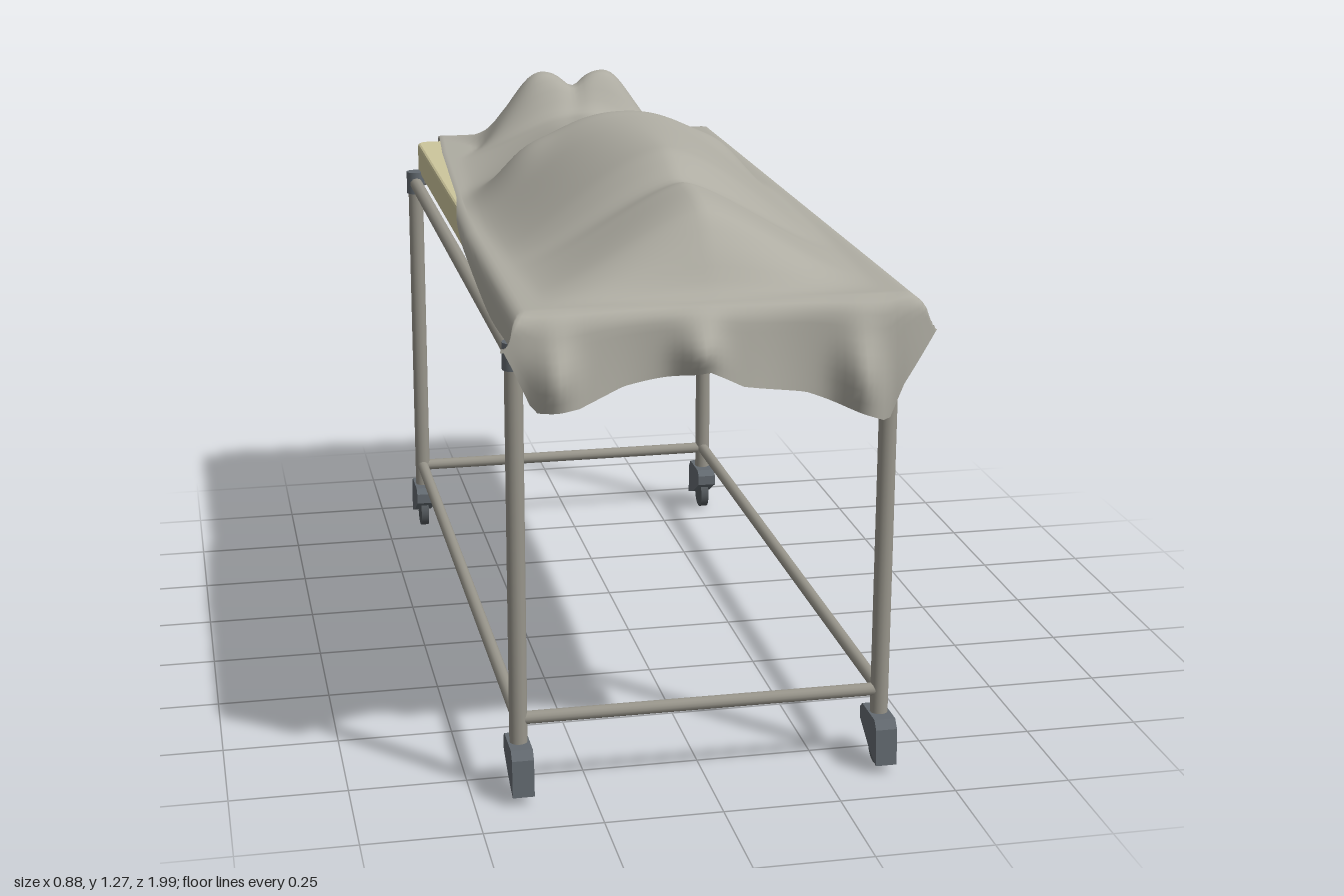
import * as THREE from 'three';

const mat = (name, color, side = THREE.FrontSide) => {
  const m = new THREE.MeshStandardMaterial({ color, side });
  m.name = name;
  return m;
};

// Interpolate sorted [key, value] pairs, straight or as a smooth Hermite curve
function interp(pairs, k, smooth = true) {
  const n = pairs.length - 1;
  if (k <= pairs[0][0]) return pairs[0][1];
  if (k >= pairs[n][0]) return pairs[n][1];
  const i = pairs.findIndex(p => p[0] > k);
  const [k0, v0] = pairs[i - 1], [k1, v1] = pairs[i];
  const h = k1 - k0, t = (k - k0) / h;
  if (!smooth) return v0 + (v1 - v0) * t;
  const slope = j => (j === 0 || j === n) ? 0 : (pairs[j + 1][1] - pairs[j - 1][1]) / (pairs[j + 1][0] - pairs[j - 1][0]);
  const s = t * t * (3 - 2 * t);
  return v0 + (v1 - v0) * s + h * t * (1 - t) * ((1 - t) * slope(i - 1) - t * slope(i));
}
const bump = (x, z, cx, cz, sx, sz) => Math.exp(-(((x - cx) / sx) ** 2) - ((z - cz) / sz) ** 2);

// Covered figure along z: ridge height, half width and roundness (feet at the back)
const RIDGE = [[-0.93, 1.062], [-0.877, 1.085], [-0.82, 1.17], [-0.775, 1.235], [-0.72, 1.235], [-0.67, 1.18],
  [-0.63, 1.165], [-0.5, 1.175], [-0.235, 1.207], [-0.15, 1.24], [-0.075, 1.268], [0.0, 1.27], [0.38, 1.27],
  [0.46, 1.25], [0.52, 1.225], [0.6, 1.237], [0.75, 1.215], [0.82, 1.145], [0.87, 1.075], [0.91, 1.062]];
const WIDTH = [[-0.92, 0.34], [-0.76, 0.25], [-0.6, 0.31], [-0.3, 0.34], [-0.1, 0.37], [0.2, 0.37],
  [0.5, 0.36], [0.75, 0.35], [0.9, 0.35]];
const ROUND = [[-0.85, 2], [-0.76, 2.8], [-0.64, 1.5], [-0.3, 1.5], [-0.1, 2.2], [0.1, 2], [0.35, 1.7],
  [0.55, 1.4], [0.9, 1.4]];
const TOP = 1.062;

function bodyHeight(x, z) {
  const t = Math.min(1, Math.abs(x) / interp(WIDTH, z));
  let y = TOP + (interp(RIDGE, z) - TOP) * (1 - t ** interp(ROUND, z)) ** 1.5;
  for (const s of [-1, 1]) {
    y += 0.02 * bump(x, z, s * 0.24, -0.08, 0.06, 0.1);     // hands
    y += 0.025 * bump(x, z, s * 0.1, -0.75, 0.05, 0.05);    // feet
  }
  y -= 0.03 * bump(x, z, 0, -0.77, 0.03, 0.09);             // gap between feet
  y -= 0.012 * bump(x, z, -0.02, -0.45, 0.04, 0.2);         // hollow between legs
  return y;
}

// Hem outlines: bottom height by x, sheet edge and overhang along the sides by z
const FRONT_HEM = [[-0.44, 1.0], [-0.42, 0.96], [-0.38, 0.87], [-0.29, 0.875], [-0.2, 0.91], [-0.03, 0.936],
  [0.04, 0.9], [0.175, 0.875], [0.34, 0.81], [0.37, 0.885], [0.44, 0.995]];
const BACK_HEM = [[-0.33, 0.98], [-0.25, 0.885], [-0.18, 0.757], [0, 0.885], [0.31, 0.72], [0.36, 0.81], [0.44, 0.98]];
const RIGHT_EDGE = [[-0.92, -0.315], [-0.7, -0.335], [-0.1, -0.372], [0.2, -0.384], [0.9, -0.387]];
const RIGHT_HANG = [[-0.2, 0.012], [0.1, 0.045], [0.6, 0.1], [0.92, 0.09]];
const LEFT_HANG = [[-0.92, 0.085], [-0.6, 0.108], [0, 0.116], [0.6, 0.108], [0.9, 0.085]];

// Cloth of length d running over an edge of radius 0.03, then straight down
function fold(d) {
  const r = 0.03, a = Math.min(d / r, Math.PI / 2);
  return { out: r * Math.sin(a), down: r * (1 - Math.cos(a)) + Math.max(0, d - r * Math.PI / 2) };
}

function makeSheet() {
  const K = 10, NX = 56, NZ = 110;                // hanging steps, top columns, top rows
  const cols = NX + 2 * K, rows = NZ + 2 * K;
  const pos = [], idx = [];
  for (let j = 0; j <= rows; j++) {
    const back = Math.max(0, (K - j) / K), front = Math.max(0, (j - NZ - K) / K);
    const b = Math.max(back, front);
    const zt = -0.915 + 1.82 * Math.min(1, Math.max(0, (j - K) / NZ));
    const xr = interp(RIGHT_EDGE, zt, false);
    for (let i = 0; i <= cols; i++) {
      const right = Math.max(0, (K - i) / K), left = Math.max(0, (i - NX - K) / K);
      const u = Math.min(1, Math.max(0, (i - K) / NX));
      const side = fold(left * interp(LEFT_HANG, zt) + right * interp(RIGHT_HANG, zt));
      const flare = 0.025 * b * (left + right * front);
      const x = xr + (0.385 - xr) * u + (left ? 1 : -1) * (side.out + flare);
      let z = zt, drop = side.down;
      if (b > 0) {
        const end = fold(b * (TOP + 0.017 - interp(front ? FRONT_HEM : BACK_HEM, x, false)));
        // Loose folds stand out from the hanging ends
        let out = end.out + 0.012 * b * (1 + Math.sin(x * 19 + 1));
        if (front) for (const cx of [-0.34, -0.05, 0.28]) out += 0.045 * bump(x, b, cx, 0.7, 0.04, 0.35);
        else out += 0.04 * bump(x, b, -0.02, 0.6, 0.035, 0.35);
        z += front ? out : -out;
        drop = Math.max(drop, end.down);
      }
      pos.push(x, bodyHeight(x, zt) - drop, z);
    }
  }
  const w = cols + 1;
  for (let j = 0; j < rows; j++) for (let i = 0; i < cols; i++) {
    const p = j * w + i;
    idx.push(p, p + w, p + 1, p + 1, p + w, p + w + 1);
  }
  const g = new THREE.BufferGeometry();
  g.setAttribute('position', new THREE.Float32BufferAttribute(pos, 3));
  g.setIndex(idx);
  g.computeVertexNormals();
  return g;
}

// Rounded rectangle in the x, z plane
function roundedRect(x0, x1, z0, z1, r) {
  const s = new THREE.Shape();
  s.moveTo(x0 + r, z0);
  s.lineTo(x1 - r, z0); s.quadraticCurveTo(x1, z0, x1, z0 + r);
  s.lineTo(x1, z1 - r); s.quadraticCurveTo(x1, z1, x1 - r, z1);
  s.lineTo(x0 + r, z1); s.quadraticCurveTo(x0, z1, x0, z1 - r);
  s.lineTo(x0, z0 + r); s.quadraticCurveTo(x0, z0, x0 + r, z0);
  return s;
}

export function createModel() {
  const root = new THREE.Group();
  root.name = 'coveredTrolley';
  const metal = mat('steel', 0x98958b), pad = mat('mattress', 0xcdc69c);
  const plastic = mat('caster grey', 0x636a70), tyre = mat('wheel grey', 0x54595d);
  const cloth = mat('sheet', 0xaeaca2, THREE.DoubleSide);
  const add = (name, geo, m, parent = root) => {
    const mesh = new THREE.Mesh(geo, m);
    mesh.name = name;
    parent.add(mesh);
    return mesh;
  };
  const rod = (name, a, b, r, m = metal) => {
    const p = new THREE.Vector3(...a), q = new THREE.Vector3(...b);
    const mesh = add(name, new THREE.CylinderGeometry(r, r, p.distanceTo(q), 14), m);
    mesh.position.copy(p).add(q).multiplyScalar(0.5);
    mesh.quaternion.setFromUnitVectors(new THREE.Vector3(0, 1, 0), q.sub(p).normalize());
  };
  const XS = [-0.4, 0.38], ZS = [-0.855, 0.83];

  // Caster housing profile, deep end facing outwards
  const profile = [[0.06, 0.1], [0.065, 0.02], [0.035, 0.03], [0, 0.045], [-0.06, 0.08], [-0.06, 0.105],
    [-0.045, 0.118], [0.045, 0.118]].map(p => new THREE.Vector2(...p));
  const housing = new THREE.ExtrudeGeometry(new THREE.Shape(profile), { depth: 0.046, bevelEnabled: false });
  housing.translate(0, 0, -0.023).rotateY(-Math.PI / 2);
  const wheel = new THREE.CylinderGeometry(0.04, 0.04, 0.02, 20).rotateZ(Math.PI / 2).translate(0, 0.04, 0);

  // Legs with corner joints and casters
  for (const x of XS) for (const z of ZS) {
    rod('leg', [x, 0.11, z], [x, 0.97, z], 0.019);
    rod('cornerJoint', [x, 0.925, z], [x, 0.982, z], 0.023, plastic);
    const caster = new THREE.Group();
    caster.name = 'caster';
    add('casterHousing', housing, plastic, caster);
    add('casterWheel', wheel, tyre, caster);
    caster.position.set(x, 0, z);
    if (z < 0) caster.rotation.y = Math.PI;
    root.add(caster);
  }

  // Lower rails
  for (const x of XS) rod('lowerSideRail', [x, 0.17, ZS[0]], [x, 0.17, ZS[1]], 0.014);
  for (const z of ZS) rod('lowerEndRail', [XS[0], 0.17, z], [XS[1], 0.17, z], 0.014);

  // Upper tube ring with bent corners
  const ring = roundedRect(-0.4, 0.38, -0.905, 0.895, 0.07).getSpacedPoints(160).slice(0, -1)
    .map(p => new THREE.Vector3(p.x, 0.952, p.y));
  add('upperRail', new THREE.TubeGeometry(new THREE.CatmullRomCurve3(ring, true), 200, 0.016, 10, true), metal);

  // Mattress
  const slab = new THREE.ExtrudeGeometry(roundedRect(-0.381, 0.372, -0.915, 0.9, 0.025),
    { depth: 0.062, bevelEnabled: true, bevelThickness: 0.008, bevelSize: 0.006, bevelSegments: 2 });
  slab.rotateX(Math.PI / 2).translate(0, 1.04, 0);
  add('mattress', slab, pad);

  add('sheet', makeSheet(), cloth);
  return root;
}
